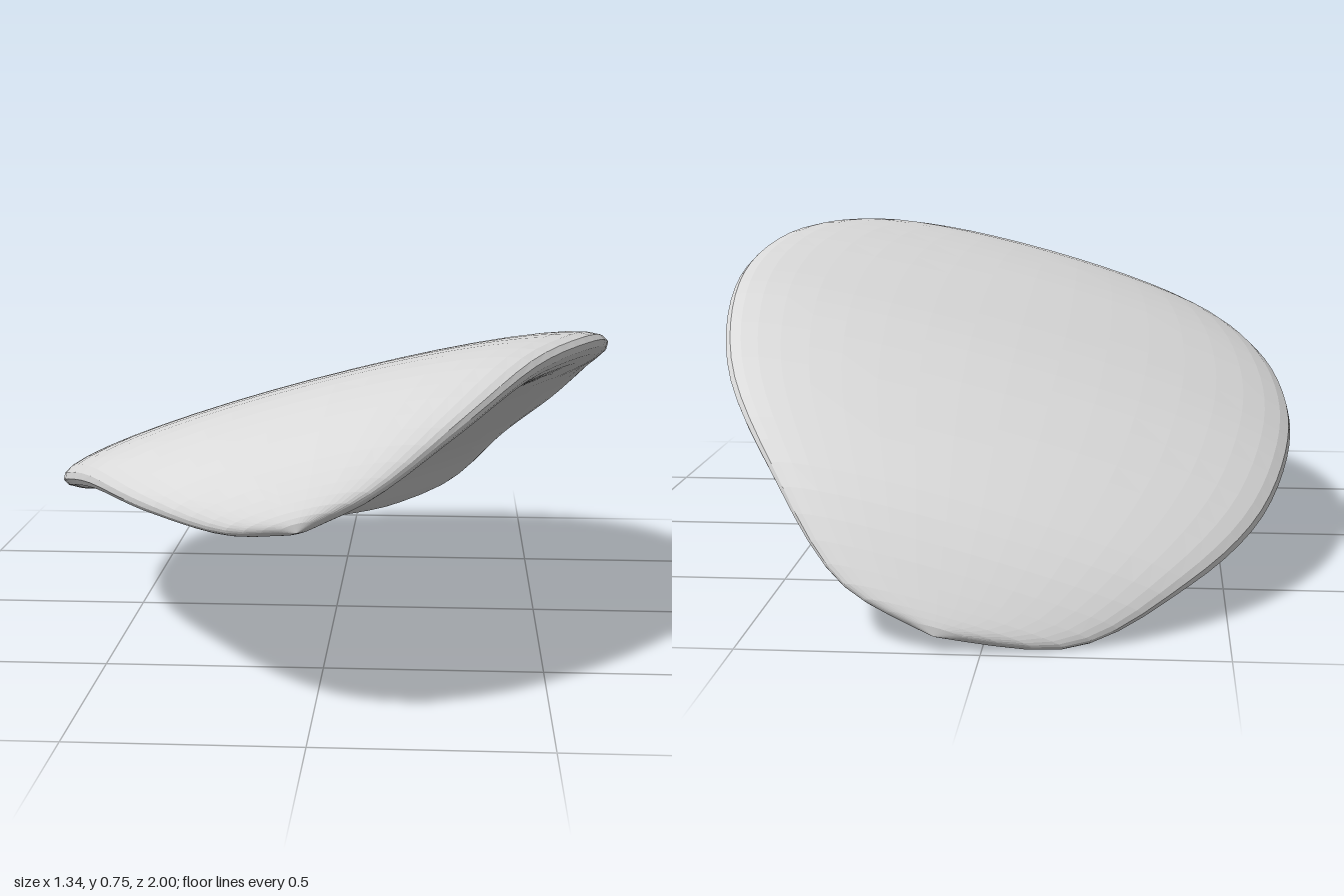
import * as THREE from 'three';

// Stations from back to front: z, left rim x, right rim x, height of the middle line
const STATIONS = [
  [-1, 0.09, 0.09, 0.015], [-0.951, 0.295, -0.19, 0.062], [-0.809, 0.455, -0.41, 0.205],
  [-0.588, 0.59, -0.565, 0.325], [-0.309, 0.655, -0.65, 0.432], [0, 0.665, -0.675, 0.507],
  [0.309, 0.6, -0.63, 0.568], [0.588, 0.465, -0.515, 0.592], [0.809, 0.31, -0.36, 0.548],
  [0.951, 0.14, -0.18, 0.483], [1, -0.02, -0.02, 0.45],
];
const TILT = 0.275; // sideways rise per unit of x
const HALF = 0.08; // half thickness in the middle
const ROWS = 44, SIDES = 40;

function rimCurve(column) {
  const points = STATIONS.map((s) => new THREE.Vector3(s[column], s[3], s[0]));
  return new THREE.CatmullRomCurve3(points, false, 'catmullrom', 0.5);
}

// Bent lens lofted through closed cross-sections that thin out to the rim
function lensGeometry() {
  const leftRim = rimCurve(1), rightRim = rimCurve(2);
  const positions = [], index = [];
  for (let r = 0; r <= ROWS; r++) {
    const t = r / ROWS;
    const l = leftRim.getPoint(t), q = rightRim.getPoint(t);
    const tangent = leftRim.getTangent(t);
    const normal = new THREE.Vector3(-TILT, 1, -tangent.y / tangent.z).normalize();
    const half = HALF * Math.sqrt(Math.max(0, 1 - Math.pow(l.z, 4)));
    const centre = (l.x + q.x) / 2, width = (l.x - q.x) / 2;
    for (let s = 0; s < SIDES; s++) {
      const a = (s / SIDES) * Math.PI * 2;
      const x = centre + width * Math.cos(a);
      const lift = half * Math.sign(Math.sin(a)) * Math.pow(Math.abs(Math.sin(a)), 0.9);
      const p = new THREE.Vector3(x, l.y + TILT * x, l.z).addScaledVector(normal, lift);
      positions.push(p.x, p.y, p.z);
      if (r < ROWS) {
        const i = r * SIDES + s, j = r * SIDES + ((s + 1) % SIDES);
        index.push(i, j, i + SIDES, j, j + SIDES, i + SIDES);
      }
    }
  }
  const geometry = new THREE.BufferGeometry();
  geometry.setAttribute('position', new THREE.Float32BufferAttribute(positions, 3));
  geometry.setIndex(index);
  geometry.computeVertexNormals();
  return geometry;
}

export function createModel() {
  const group = new THREE.Group();
  const grey = new THREE.MeshStandardMaterial({ color: 0xd9d9d9, flatShading: true });
  grey.name = 'light grey';
  const shell = new THREE.Mesh(lensGeometry(), grey);
  shell.name = 'curvedShell';
  group.add(shell);

  // Rest on the ground, centred
  const box = new THREE.Box3().setFromObject(group);
  const middle = box.getCenter(new THREE.Vector3());
  shell.position.set(-middle.x, -box.min.y, -middle.z);
  return group;
}
